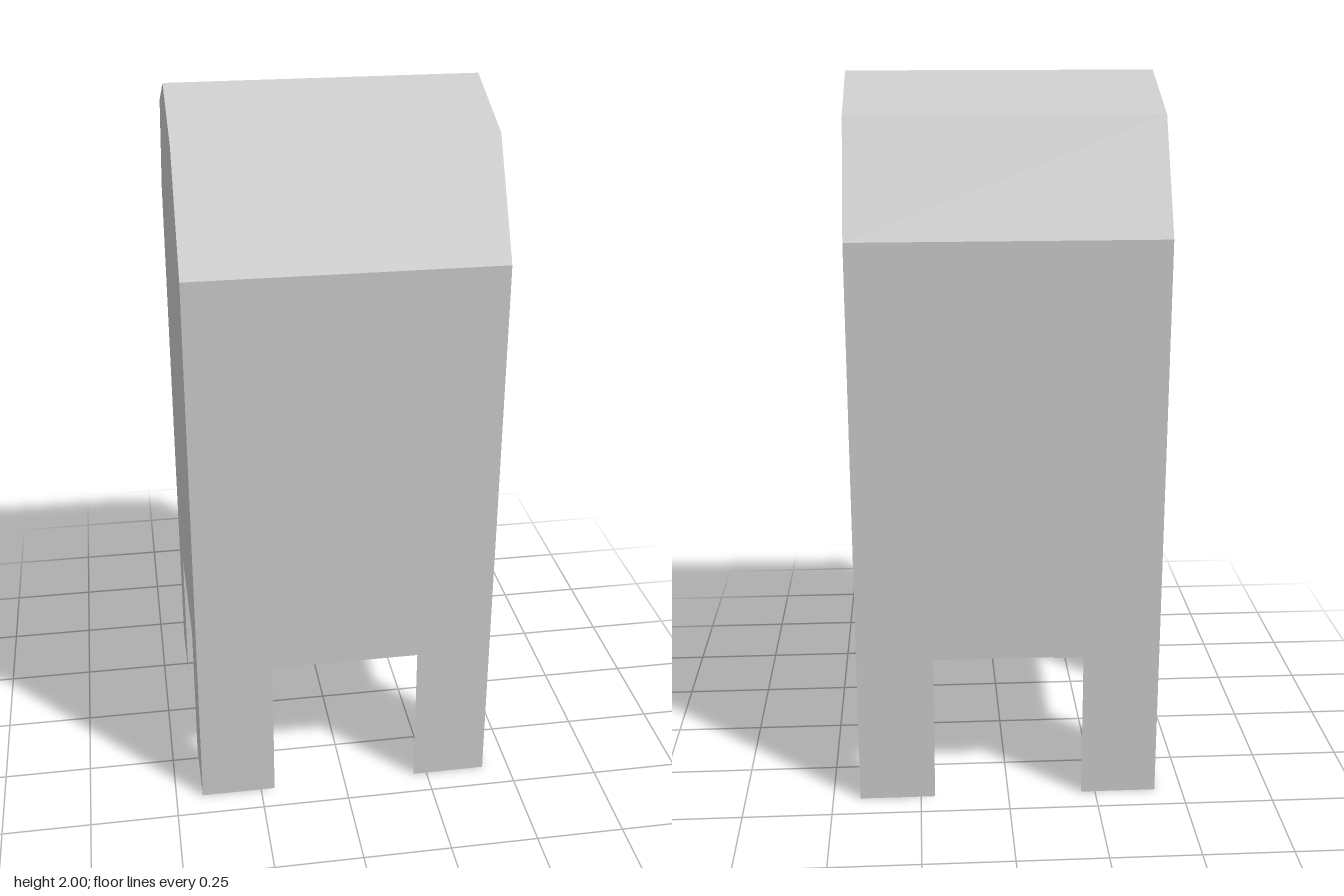
import * as THREE from 'three';

const HALF = 0.423;      // half width and depth of the box
const EAVE = 1.6;        // top of the straight walls
const LEG_H = 0.43;      // height of the leg openings
const LEG_X = 0.21;      // half width of the leg openings
const ROOF = [[HALF, EAVE], [0.255, 1.9], [0, 2]];   // half roof profile (offset, height)

// Thin sheet wall with a notch between its two legs
function wallShape(topPoints) {
  return new THREE.Shape([
    [-HALF, 0], [-LEG_X, 0], [-LEG_X, LEG_H], [LEG_X, LEG_H], [LEG_X, 0], [HALF, 0],
    ...topPoints,
  ].map(([x, y]) => new THREE.Vector2(x, y)));
}

export function createModel() {
  const model = new THREE.Group();
  model.name = 'collectionBox';
  const metal = new THREE.MeshStandardMaterial({ color: 0xcccccc, side: THREE.DoubleSide });
  metal.name = 'light grey metal';

  const squareWall = new THREE.ShapeGeometry(wallShape([[HALF, EAVE], [-HALF, EAVE]]));
  const gableWall = new THREE.ShapeGeometry(wallShape([
    ...ROOF, ...ROOF.slice(0, 2).reverse().map(([x, y]) => [-x, y]),
  ]));

  function add(parent, name, geometry) {
    const mesh = new THREE.Mesh(geometry, metal);
    mesh.name = name;
    parent.add(mesh);
    return mesh;
  }

  // Front and back: straight wall with two roof panels above it
  ['front', 'back'].forEach((side, i) => {
    const half = new THREE.Group();
    half.name = side + 'Half';
    half.rotation.y = i * Math.PI;
    add(half, side + 'Wall', squareWall).position.z = HALF;
    ['lower', 'upper'].forEach((level, k) => {
      const [z0, y0] = ROOF[k], [z1, y1] = ROOF[k + 1];
      const length = Math.hypot(z1 - z0, y1 - y0);
      const panel = add(half, `${side}${level}RoofPanel`, new THREE.PlaneGeometry(2 * HALF, length));
      panel.position.set(0, (y0 + y1) / 2, (z0 + z1) / 2);
      panel.rotation.x = Math.atan2(z1 - z0, y1 - y0);
    });
    model.add(half);
  });

  // Left and right gable walls
  for (const [name, s] of [['leftWall', 1], ['rightWall', -1]]) {
    const wall = add(model, name, gableWall);
    wall.position.x = s * HALF;
    wall.rotation.y = s * Math.PI / 2;
  }
  return model;
}
